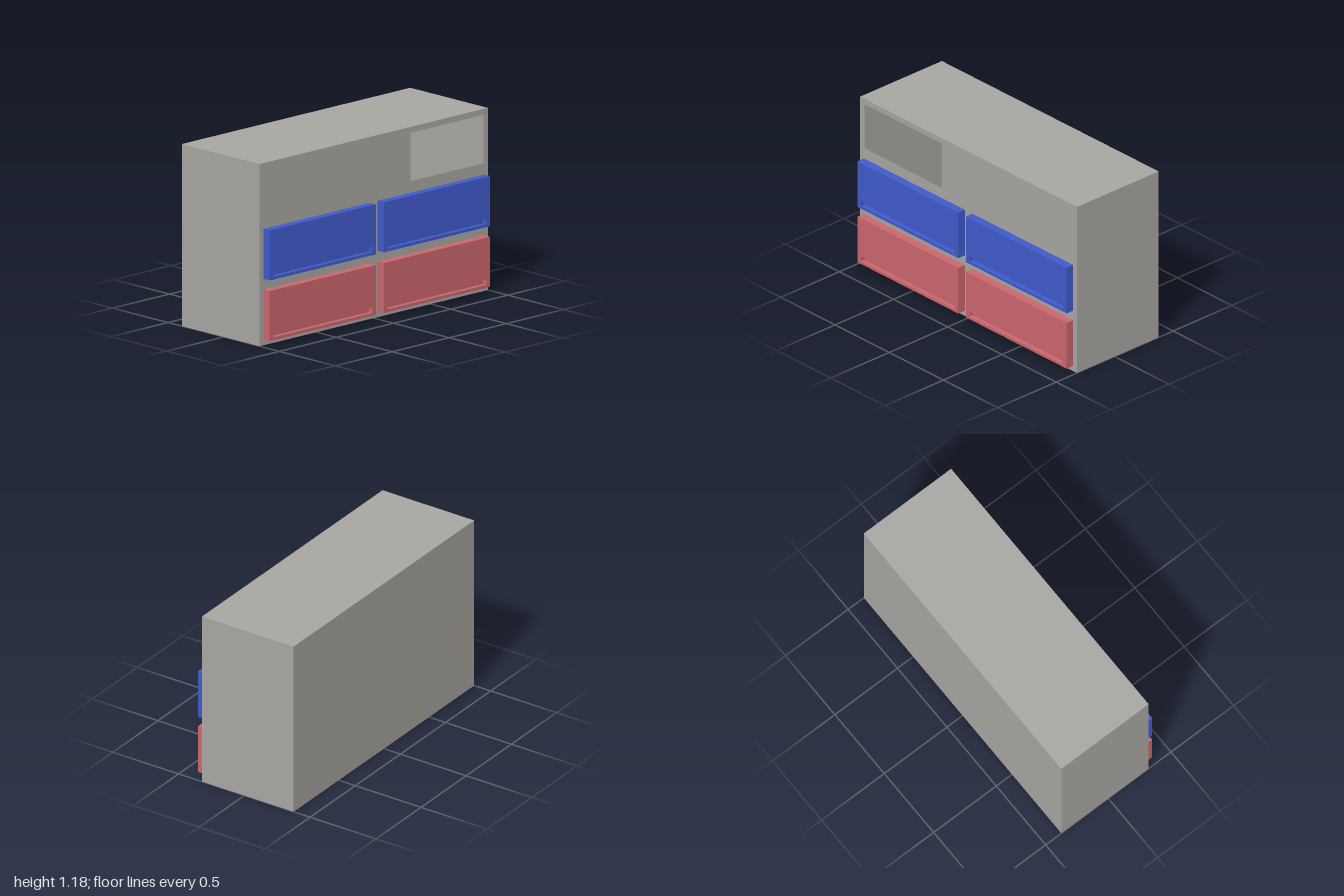
import * as THREE from 'three';

const makeMaterial = (name, color, side = THREE.FrontSide) => {
  const m = new THREE.MeshStandardMaterial({ color, side });
  m.name = name;
  return m;
};

// Rectangle outline given by its corners
function rect(x0, y0, x1, y1, Type = THREE.Shape) {
  const r = new Type();
  r.moveTo(x0, y0);
  r.lineTo(x1, y0);
  r.lineTo(x1, y1);
  r.lineTo(x0, y1);
  r.closePath();
  return r;
}

const FRONT = 0.322, BACK = -0.375, HEIGHT = 1.18;

export function createModel() {
  const model = new THREE.Group();
  model.name = 'drawerCabinet';
  const grey = makeMaterial('cabinetGrey', 0xa7a6a1, THREE.DoubleSide);
  const blue = makeMaterial('drawerBlue', 0x405acc);
  const red = makeMaterial('drawerRed', 0xcb666d);

  const add = (parent, name, geometry, material, x = 0, y = 0, z = 0) => {
    const mesh = new THREE.Mesh(geometry, material);
    mesh.name = name;
    mesh.position.set(x, y, z);
    parent.add(mesh);
  };

  // Hollow shell: a box without its front (+z) face
  const shell = new THREE.BoxGeometry(2, HEIGHT, FRONT - BACK);
  const index = Array.from(shell.index.array);
  index.splice(24, 6);
  shell.setIndex(index);
  shell.clearGroups();
  add(model, 'cabinetShell', shell, grey, 0, HEIGHT / 2, (FRONT + BACK) / 2);

  // Front frame with two open compartments in the top row
  const frame = rect(-1, 0, 1, HEIGHT);
  for (const c of [-0.5, 0.5]) {
    frame.holes.push(rect(c - 0.462, 0.828, c + 0.462, 1.142, THREE.Path));
  }
  add(model, 'frontFrame', new THREE.ShapeGeometry(frame), grey, 0, 0, FRONT);

  // Drawer front: solid backing and a slotted face that forms the finger groove
  const W = 0.93, H = 0.324, DEPTH = 0.056, GROOVE = 0.03;
  const face = rect(-W / 2, 0, W / 2, H);
  face.holes.push(rect(-0.433, 0.019, 0.433, 0.055, THREE.Path));
  const faceGeometry = new THREE.ExtrudeGeometry(face, { depth: GROOVE, bevelEnabled: false });
  const backing = new THREE.BoxGeometry(W, H, DEPTH - GROOVE);

  for (const [name, material, y] of [['upperDrawer', blue, 0.43], ['lowerDrawer', red, 0.037]]) {
    for (const [side, x] of [['Right', -0.5], ['Left', 0.5]]) {
      const drawer = new THREE.Group();
      drawer.name = name + side;
      drawer.position.set(x, y, FRONT);
      add(drawer, 'drawerBacking', backing, material, 0, H / 2, (DEPTH - GROOVE) / 2);
      add(drawer, 'drawerFace', faceGeometry, material, 0, 0, DEPTH - GROOVE);
      model.add(drawer);
    }
  }
  return model;
}
